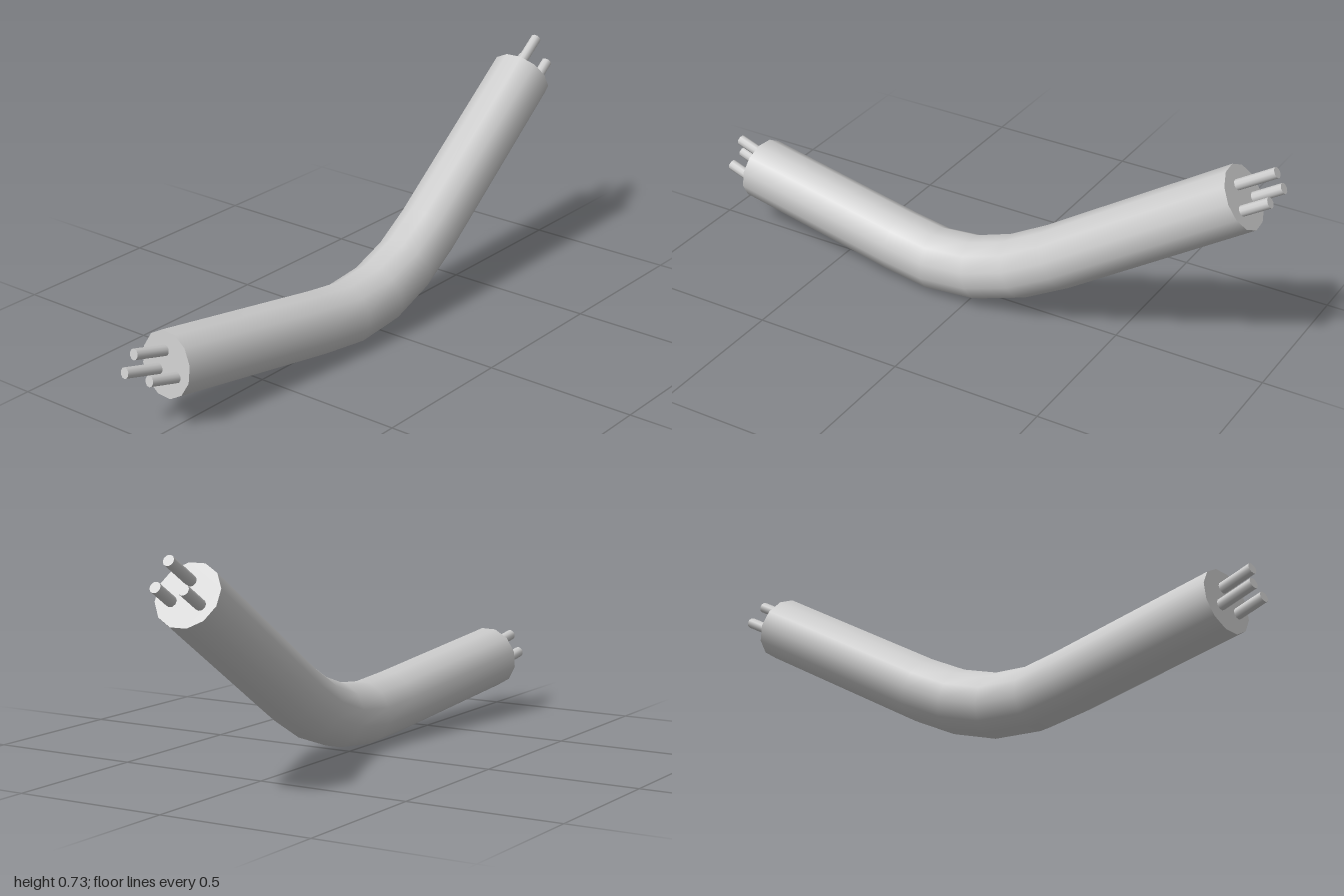
import * as THREE from 'three';

const SIDES = 12, RADIUS = 0.1035;
const V = (x, y, z) => new THREE.Vector3(x, y, z);

// Centre line: straight front leg, rounded bend, straight rising back leg
const path = [
  V(-0.038, 0.188, 0.875), V(0.02, 0.115, 0.283), V(0.033, 0.102, 0.136), V(0.037, 0.119, -0.019),
  V(0.034, 0.168, -0.163), V(0.025, 0.241, -0.3), V(-0.023, 0.607, -0.888),
];

// Twelve-cornered ring around a centre-line point, square to the local direction
function ring(i) {
  const dirIn = path[Math.max(i, 1)].clone().sub(path[Math.max(i, 1) - 1]).normalize();
  const j = Math.min(i, path.length - 2);
  const dirOut = path[j + 1].clone().sub(path[j]).normalize();
  const t = dirIn.add(dirOut).normalize();
  const side = V(0, 1, 0).cross(t).normalize();
  const up = t.clone().cross(side);
  return Array.from({ length: SIDES }, (_, k) => {
    const a = ((k + 0.5) / SIDES) * Math.PI * 2;
    return side.clone().multiplyScalar(Math.cos(a)).addScaledVector(up, Math.sin(a));
  });
}

function sheathGeometry() {
  const pos = [], nor = [], idx = [];
  const add = (p, n) => { pos.push(...p.toArray()); nor.push(...n.toArray()); };
  path.forEach((c, i) => ring(i).forEach((n) => add(c.clone().addScaledVector(n, RADIUS), n)));
  for (let i = 0; i < path.length - 1; i++) {
    for (let k = 0; k < SIDES; k++) {
      const a = i * SIDES + k, b = i * SIDES + ((k + 1) % SIDES);
      idx.push(a, b, a + SIDES, b, b + SIDES, a + SIDES);
    }
  }
  // Flat end caps
  for (const [i, inner] of [[0, 1], [path.length - 1, path.length - 2]]) {
    const n = path[i].clone().sub(path[inner]).normalize();
    const base = pos.length / 3;
    ring(i).forEach((r) => add(path[i].clone().addScaledVector(r, RADIUS), n));
    for (let k = 1; k < SIDES - 1; k++) {
      idx.push(base, ...(i === 0 ? [base + k + 1, base + k] : [base + k, base + k + 1]));
    }
  }
  const g = new THREE.BufferGeometry();
  g.setAttribute('position', new THREE.Float32BufferAttribute(pos, 3));
  g.setAttribute('normal', new THREE.Float32BufferAttribute(nor, 3));
  g.setIndex(idx);
  return g;
}

export function createModel() {
  const group = new THREE.Group();
  const material = new THREE.MeshStandardMaterial({ color: 0xcccccc });

  const sheath = new THREE.Mesh(sheathGeometry(), material);
  sheath.name = 'cableSheath';
  group.add(sheath);

  // Bare wires, rooted inside the sheath and ending at the given tips
  const addWires = (name, direction, tips) => {
    const length = 0.16, dir = direction.normalize();
    const wires = new THREE.Group();
    wires.name = name;
    for (const tip of tips) {
      const wire = new THREE.Mesh(new THREE.CylinderGeometry(0.0175, 0.0175, length, 10), material);
      wire.name = 'wire';
      wire.quaternion.setFromUnitVectors(V(0, 1, 0), dir);
      wire.position.copy(tip).addScaledVector(dir, -length / 2);
      wires.add(wire);
    }
    group.add(wires);
  };
  addWires('frontWires', V(-0.14, 0.22, 1), [
    V(-0.0625, 0.253, 0.98), V(-0.087, 0.192, 0.996), V(-0.005, 0.185, 0.98),
  ]);
  addWires('backWires', V(-0.08, 0.6, -1), [
    V(-0.028, 0.714, -0.982), V(-0.08, 0.637, -0.986), V(0.016, 0.637, -0.986),
  ]);
  return group;
}
